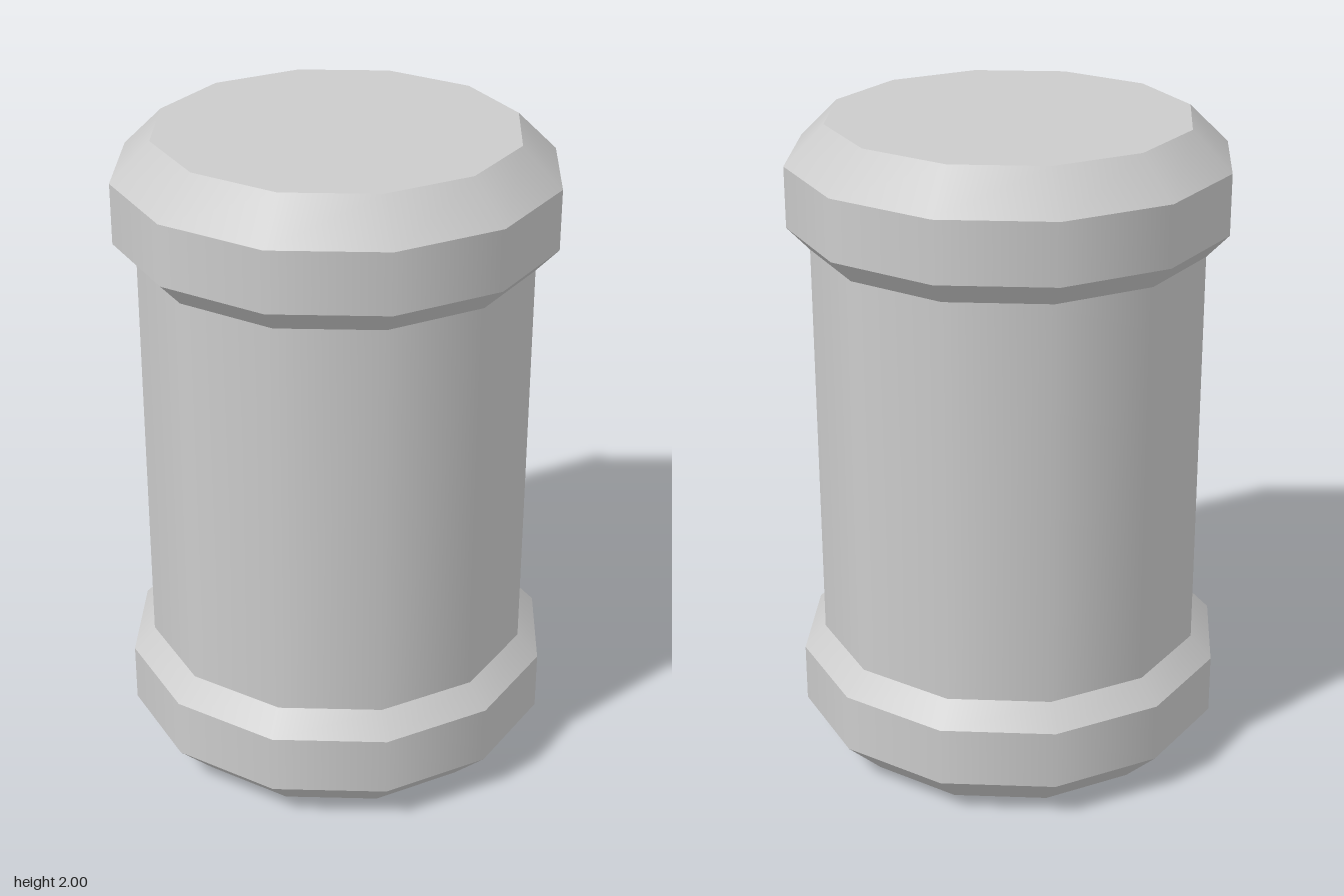
import * as THREE from 'three';

const SIDES = 12;
const BODY_R = 0.598, RIM_R = 0.665, END_R = 0.545;
const material = new THREE.MeshStandardMaterial({ color: 0xcccccc });

// Open twelve-sided band between two heights, smooth around and sharp at its edges
function band(name, y0, r0, y1, r1) {
  const geometry = new THREE.CylinderGeometry(r1, r0, y1 - y0, SIDES, 1, true);
  const mesh = new THREE.Mesh(geometry, material);
  mesh.name = name;
  mesh.position.y = (y0 + y1) / 2;
  return mesh;
}

// End collar: flat disc, wide bevel, straight rim and a short bevel into the body
function collar(name) {
  const group = new THREE.Group();
  group.name = name;
  const disc = new THREE.Mesh(new THREE.CircleGeometry(END_R, SIDES), material);
  disc.name = 'endDisc';
  disc.rotation.x = Math.PI / 2;
  group.add(
    disc,
    band('outerBevel', 0, END_R, 0.118, RIM_R),
    band('rim', 0.118, RIM_R, 0.302, RIM_R),
    band('innerBevel', 0.302, RIM_R, 0.373, BODY_R)
  );
  return group;
}

export function createModel() {
  const model = new THREE.Group();
  model.name = 'barrel';

  // Straight body between the collars
  model.add(band('body', 0.373, BODY_R, 1.627, BODY_R));

  // The top collar is the bottom one turned over
  const top = collar('topCollar');
  top.rotation.x = Math.PI;
  top.position.y = 2;
  model.add(collar('bottomCollar'), top);

  return model;
}
